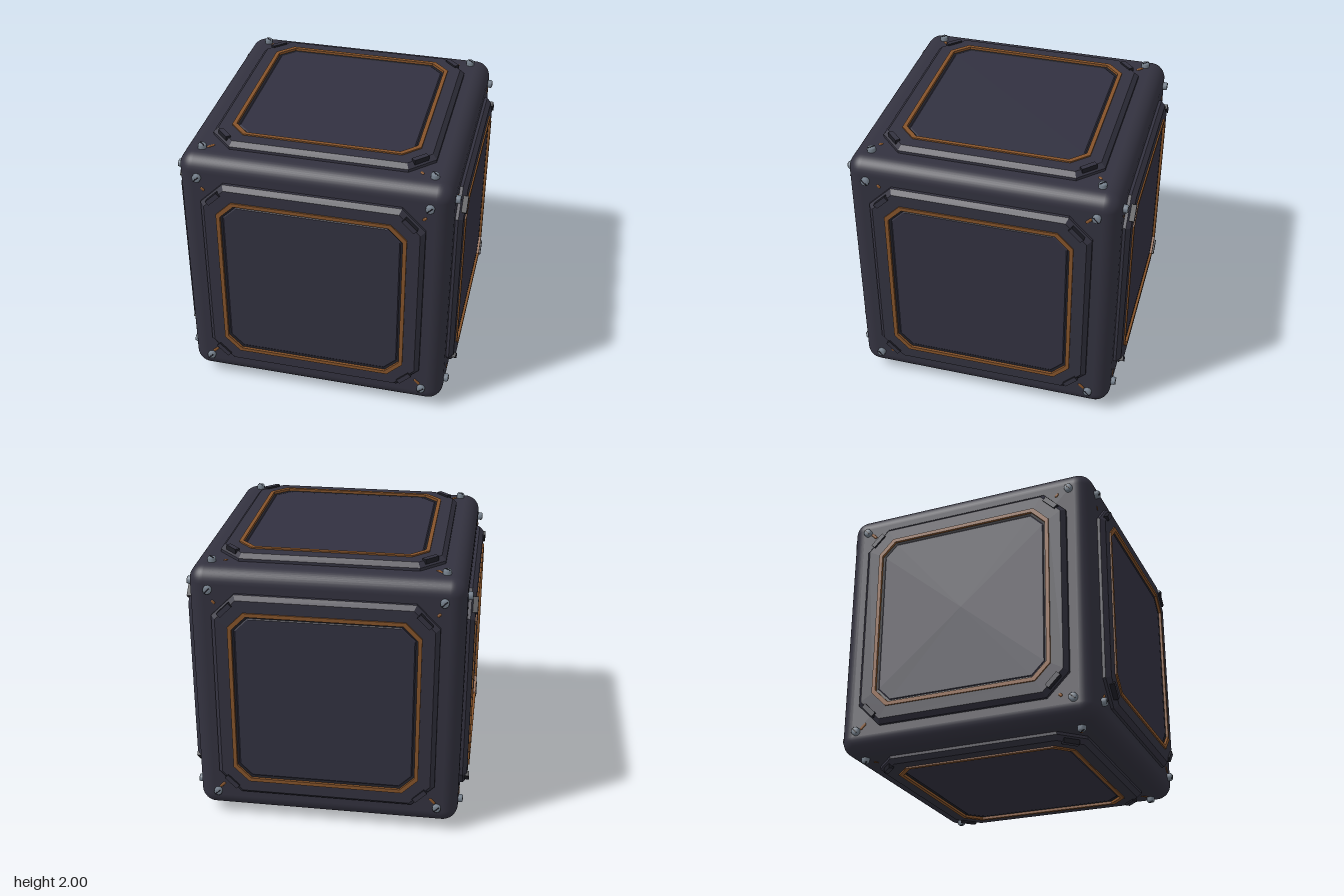
import * as THREE from 'three';
import { RoundedBoxGeometry } from 'three/addons/geometries/RoundedBoxGeometry.js';

const mat = (name, color) => {
  const m = new THREE.MeshStandardMaterial({ color });
  m.name = name;
  return m;
};

// Square with cut corners, counter-clockwise seen from +z
function octagon(h, c) {
  const k = h - c;
  return [[h, -k], [h, k], [k, h], [-k, h], [-h, k], [-h, -k], [-k, -h], [k, -h]];
}

// Skin through octagons [half size, corner cut, z], from the outside inwards
function octagonLoft(profile) {
  const pos = [];
  for (let s = 0; s < profile.length - 1; s++) {
    const [h0, c0, z0] = profile[s], [h1, c1, z1] = profile[s + 1];
    const p = octagon(h0, c0), q = octagon(h1, c1);
    for (let i = 0; i < 8; i++) {
      const j = (i + 1) % 8;
      pos.push(...p[i], z0, ...p[j], z0, ...q[j], z1);
      if (h1 > 0) pos.push(...p[i], z0, ...q[j], z1, ...q[i], z1);
    }
  }
  const g = new THREE.BufferGeometry();
  g.setAttribute('position', new THREE.Float32BufferAttribute(pos, 3));
  g.computeVertexNormals();
  return g;
}

export function createModel() {
  const shell = mat('dark slate shell', 0x33323f);
  const inset = mat('slate panel', 0x323140);
  const shadow = mat('near black', 0x1e1e26);
  const copper = mat('burnt orange', 0x85532a);
  const steel = mat('blue grey steel', 0x75808c);

  const model = new THREE.Group();
  model.name = 'crate';
  const add = (parent, name, geometry, material) => {
    const m = new THREE.Mesh(geometry, material);
    m.name = name;
    parent.add(m);
    return m;
  };

  add(model, 'body', new RoundedBoxGeometry(1.87, 1.87, 1.87, 5, 0.11), shell);

  // Shared geometries, all facing +z
  const frameGeo = octagonLoft([[0.77, 0.16, 0.925], [0.77, 0.16, 0.955], [0.74, 0.145, 0.986], [0.655, 0.11, 0.986]]);
  const trimGeo = octagonLoft([[0.655, 0.11, 0.98], [0.655, 0.11, 0.996], [0.628, 0.1, 0.996], [0.628, 0.1, 0.978]]);
  const grooveGeo = octagonLoft([[0.628, 0.1, 0.978], [0.612, 0.092, 0.974]]);
  const panelGeo = octagonLoft([[0.612, 0.092, 0.974], [0.605, 0.09, 0.979], [0, 0, 0.979]]);
  const tabGeo = new THREE.BoxGeometry(0.115, 0.035, 0.035);
  const screwGeo = new THREE.LatheGeometry(
    [[0.029, -0.01], [0.029, 0.024], [0.022, 0.032], [0, 0.032]].map(p => new THREE.Vector2(...p)), 16);
  screwGeo.rotateX(Math.PI / 2);
  const slotGeo = new THREE.BoxGeometry(0.05, 0.009, 0.003);
  const markGeo = length => new THREE.CapsuleGeometry(0.011, length, 3, 8).scale(1, 1, 0.6);
  const longMark = markGeo(0.036), shortMark = markGeo(0.012);

  function makeSide(name, rx, ry, spin) {
    const side = new THREE.Group();
    side.name = name;
    add(side, 'frame', frameGeo, shell);
    add(side, 'trim', trimGeo, copper);
    add(side, 'groove', grooveGeo, shadow);
    add(side, 'panel', panelGeo, inset);
    for (const sx of [-1, 1]) for (const sy of [-1, 1]) {
      const diagonal = Math.atan2(sy, sx);

      // Clip on the cut corner of the frame, dark on its sides
      const tab = add(side, 'cornerTab', tabGeo, [shadow, shadow, shadow, shadow, shell, shadow]);
      tab.position.set(sx * 0.67, sy * 0.67, 0.9825);
      tab.rotation.z = diagonal + Math.PI / 2;

      // Slotted screw
      const screw = add(side, 'screw', screwGeo, steel);
      screw.position.set(sx * 0.79, sy * 0.79, 0.935);
      const slot = add(side, 'screwSlot', slotGeo, shadow);
      slot.position.set(sx * 0.79, sy * 0.79, 0.967);
      slot.rotation.z = Math.PI / 4;

      // Painted dash between screw and frame, long on one edge and short on the other
      const dash = add(side, 'cornerMark', sy < 0 ? longMark : shortMark, copper);
      dash.position.set(sx * 0.757, sy < 0 ? -0.74 : 0.7, 0.934);
      dash.rotation.z = diagonal + Math.PI / 2;
    }
    side.rotation.set(rx, ry, spin);
    model.add(side);
  }

  const q = Math.PI / 2;
  makeSide('frontSide', 0, 0, 0);
  makeSide('backSide', 0, Math.PI, 0);
  makeSide('rightSide', 0, q, q);
  makeSide('leftSide', 0, -q, -q);
  makeSide('topSide', -q, 0, -q);
  makeSide('bottomSide', q, 0, q);

  // Stand on the ground
  for (const part of model.children) part.position.y += 1;
  return model;
}
